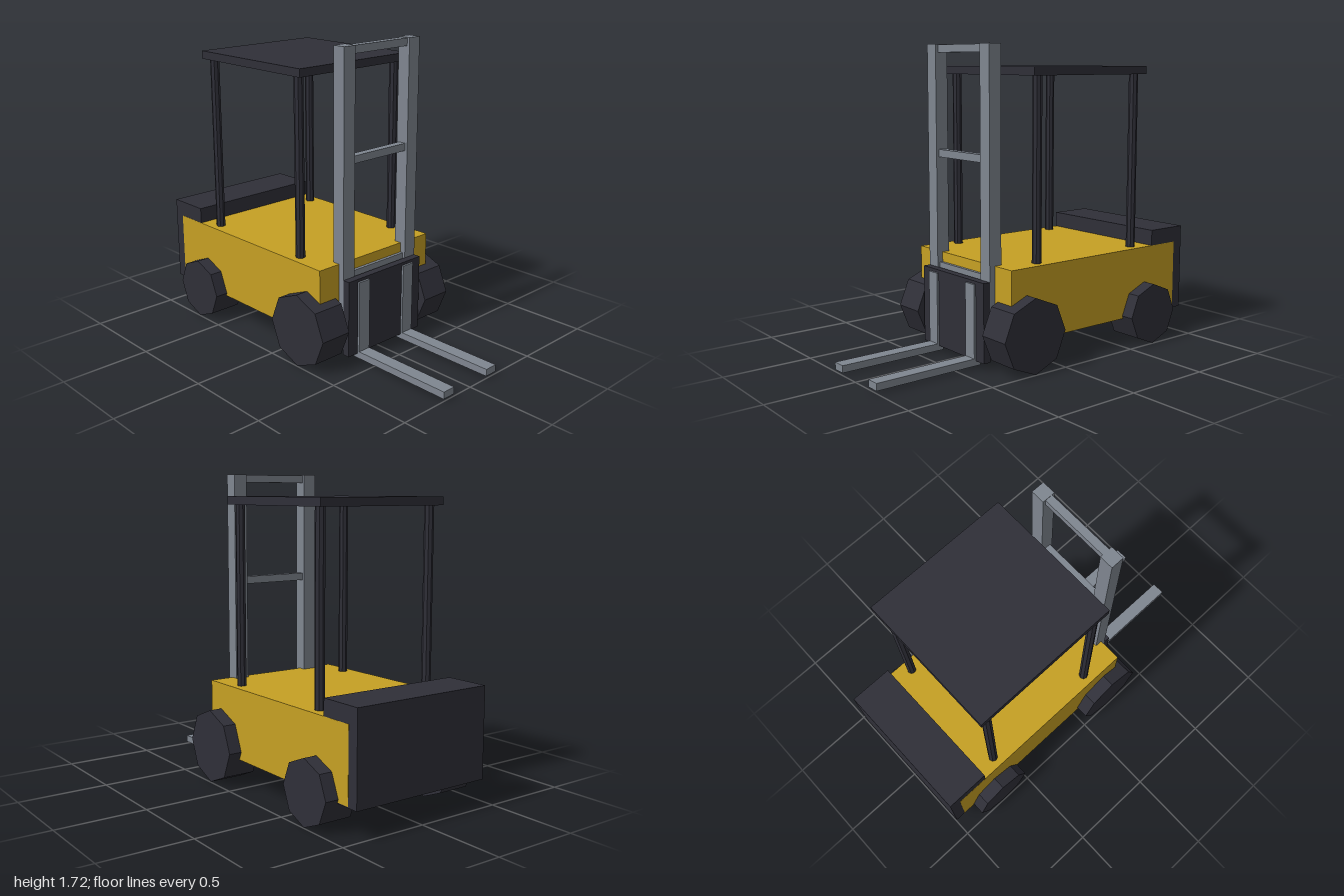
import * as THREE from 'three';

export function createModel() {
  const model = new THREE.Group();
  model.name = 'forklift';

  const material = (name, color) => {
    const m = new THREE.MeshStandardMaterial({ color, flatShading: true });
    m.name = name;
    return m;
  };
  const yellow = material('yellow paint', 0xc6a023);
  const dark = material('dark rubber and steel', 0x2f2f38);
  const grey = material('grey steel', 0x7f8690);

  const add = (name, geometry, mat, x, y, z) => {
    const mesh = new THREE.Mesh(geometry, mat);
    mesh.name = name;
    mesh.position.set(x, y, z);
    model.add(mesh);
    return mesh;
  };
  // Box given by its extents on each axis
  const box = (name, mat, [x0, x1], [y0, y1], [z0, z1]) =>
    add(name, new THREE.BoxGeometry(x1 - x0, y1 - y0, z1 - z0), mat,
      (x0 + x1) / 2, (y0 + y1) / 2, (z0 + z1) / 2);

  // Chassis and rear counterweight
  box('body', yellow, [-0.42, 0.42], [0.16, 0.56], [-0.937, 0.31]);
  box('counterweight', dark, [-0.419, 0.419], [0.155, 0.65], [-1, -0.745]);

  // Overhead guard
  box('roof', dark, [-0.4, 0.4], [1.555, 1.6], [-0.69, 0.145]);

  for (const side of [-1, 1]) {
    const label = side > 0 ? 'left' : 'right';
    const span = (a, b) => (side > 0 ? [a, b] : [-b, -a]);

    // Roof posts
    for (const [end, z] of [['Front', 0.087], ['Rear', -0.63]]) {
      add(label + end + 'Post', new THREE.CylinderGeometry(0.026, 0.026, 1.02, 8),
        dark, side * 0.357, 1.055, z);
    }

    // Eight-sided wheels
    for (const [end, r, z] of [['Front', 0.207, 0.207], ['Rear', 0.176, -0.687]]) {
      const wheel = add(label + end + 'Wheel', new THREE.CylinderGeometry(r, r, 0.19, 8),
        dark, side * 0.4, r, z);
      wheel.rotation.z = Math.PI / 2;
    }

    // Mast rail and fork
    box(label + 'MastRail', grey, span(0.2, 0.28), [0.08, 1.72], [0.267, 0.344]);
    box(label + 'ForkShank', grey, span(0.133, 0.211), [0.013, 0.46], [0.357, 0.397]);
    box(label + 'ForkTine', grey, span(0.133, 0.211), [0.013, 0.053], [0.38, 1]);
  }

  // Mast cross bars
  for (const [name, top] of [['lower', 0.504], ['middle', 1.143], ['upper', 1.717]]) {
    box(name + 'CrossBar', grey, [-0.2, 0.2], [top - 0.042, top], [0.283, 0.328]);
  }

  // Carriage plate carrying the forks
  box('carriage', dark, [-0.28, 0.28], [0.04, 0.477], [0.341, 0.385]);

  return model;
}
